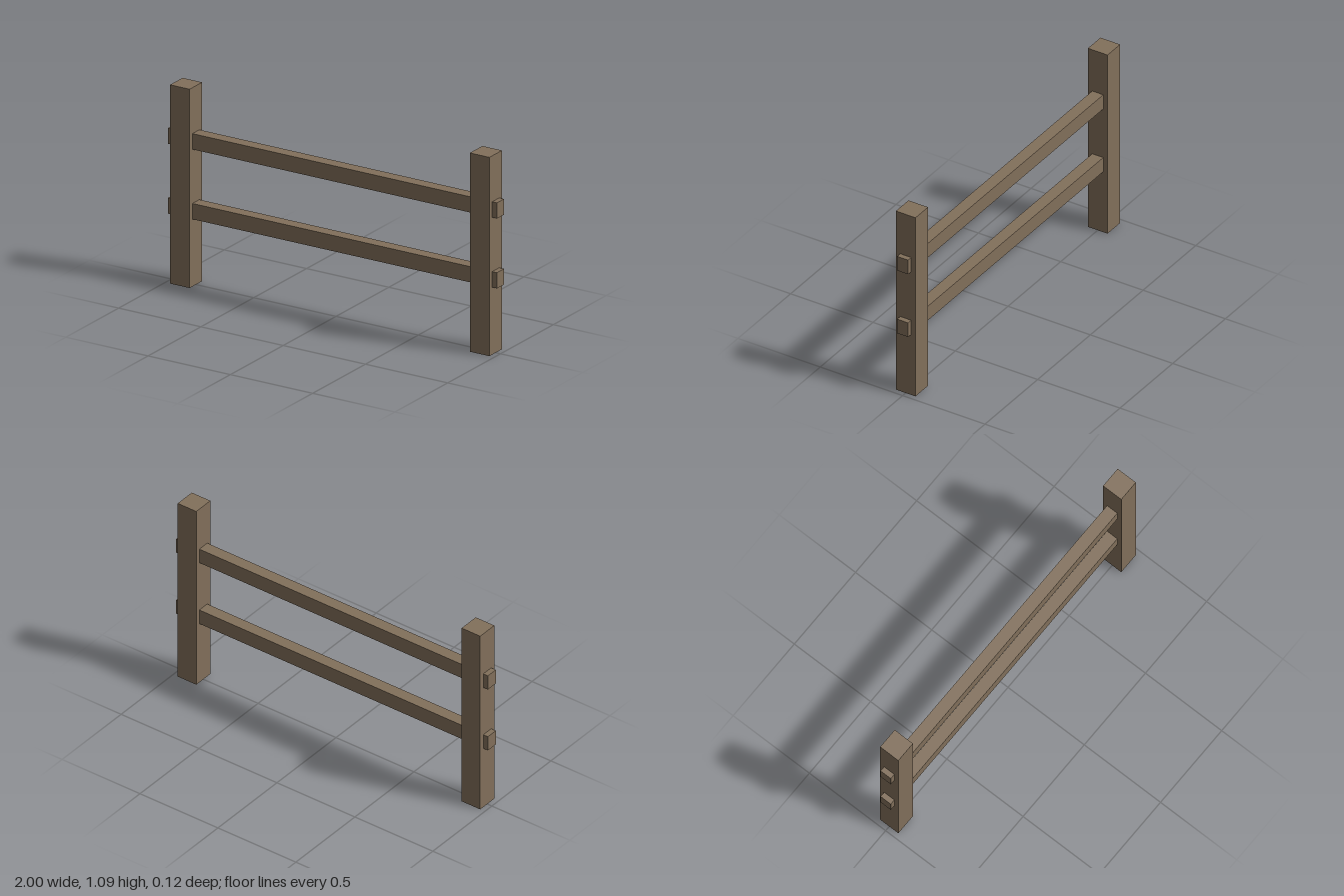
import * as THREE from 'three';

export function createModel() {
  const group = new THREE.Group();
  const wood = new THREE.MeshStandardMaterial({ color: 0x82705b });
  wood.name = 'weathered wood';

  const addBeam = (name, size, position) => {
    const beam = new THREE.Mesh(new THREE.BoxGeometry(...size), wood);
    beam.name = name;
    beam.position.set(...position);
    group.add(beam);
  };

  // Upright square posts
  const postHeight = 1.087;
  for (const [name, side] of [['leftPost', 1], ['rightPost', -1]]) {
    addBeam(name, [0.119, postHeight, 0.119], [side * 0.911, postHeight / 2, 0]);
  }

  // Horizontal rails passing through both posts, with short protruding ends
  for (const [name, y] of [['lowerRail', 0.411], ['upperRail', 0.793]]) {
    addBeam(name, [2, 0.086, 0.067], [0, y, 0]);
  }

  return group;
}
